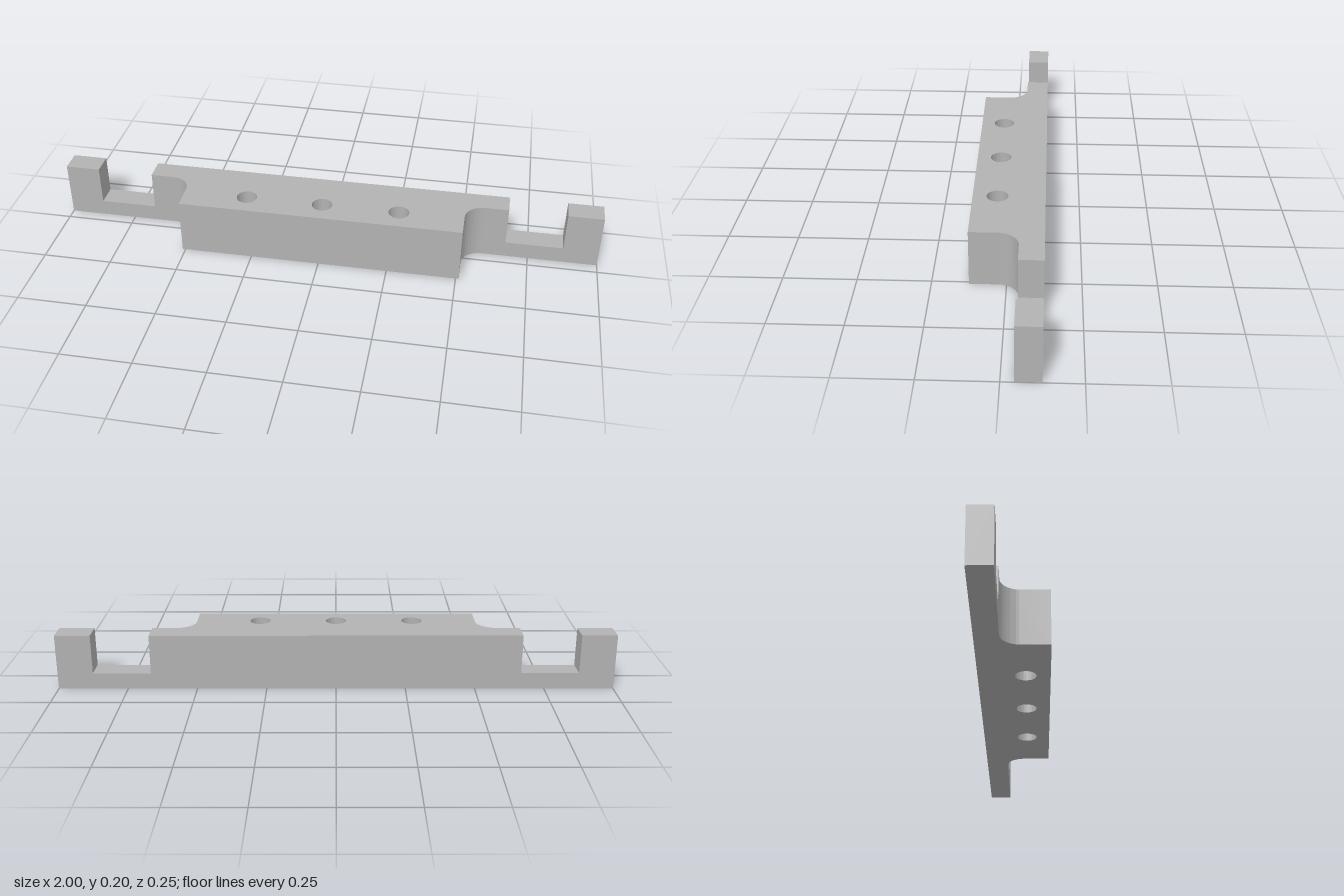
import * as THREE from 'three';
import { toCreasedNormals } from 'three/addons/utils/BufferGeometryUtils.js';

const H = 0.203;          // overall height
const BACK = 0.125;       // half depth
const ARM = 0.042;        // arm front face, measured toward the back
const BODY_X = 0.511;     // half width of the thick block
const NECK_X = 0.665;     // inner wall of the notch
const POST_X = 0.873;     // outer wall of the notch
const FLOOR = 0.06;       // notch floor height
const R = 0.07;           // fillet radius

export function createModel() {
  const group = new THREE.Group();
  const grey = new THREE.MeshStandardMaterial({ color: 0xb2b2b2 });
  grey.name = 'grey';

  const add = (name, geometry) => {
    const mesh = new THREE.Mesh(toCreasedNormals(geometry, 0.6), grey);
    mesh.name = name;
    group.add(mesh);
  };

  // Central block: plan outline (shape y points to the back) with filleted shoulders
  const plan = new THREE.Shape();
  plan.moveTo(-BODY_X, -BACK);
  plan.lineTo(BODY_X, -BACK);
  plan.lineTo(BODY_X, ARM - R);
  plan.absarc(BODY_X + R, ARM - R, R, Math.PI, Math.PI / 2, true);
  plan.lineTo(NECK_X, ARM);
  plan.lineTo(NECK_X, BACK);
  plan.lineTo(-NECK_X, BACK);
  plan.lineTo(-NECK_X, ARM);
  plan.lineTo(-BODY_X - R, ARM);
  plan.absarc(-BODY_X - R, ARM - R, R, Math.PI / 2, 0, true);
  plan.closePath();

  // Three vertical through holes
  for (const x of [-0.278, 0, 0.278]) {
    plan.holes.push(new THREE.Path().absarc(x, -0.04, 0.037, 0, Math.PI * 2, true));
  }
  const block = new THREE.ExtrudeGeometry(plan, { depth: H, bevelEnabled: false, curveSegments: 20 });
  block.rotateX(-Math.PI / 2);
  add('centralBlock', block);

  // L-shaped end arms: low notch floor and upright post
  for (const [name, s] of [['leftArm', 1], ['rightArm', -1]]) {
    const profile = new THREE.Shape(
      [[NECK_X, 0], [1, 0], [1, H], [POST_X, H], [POST_X, FLOOR], [NECK_X, FLOOR]]
        .map(([x, y]) => new THREE.Vector2(s * x, y))
    );
    const arm = new THREE.ExtrudeGeometry(profile, { depth: BACK - ARM, bevelEnabled: false });
    arm.translate(0, 0, -BACK);
    add(name, arm);
  }
  return group;
}
